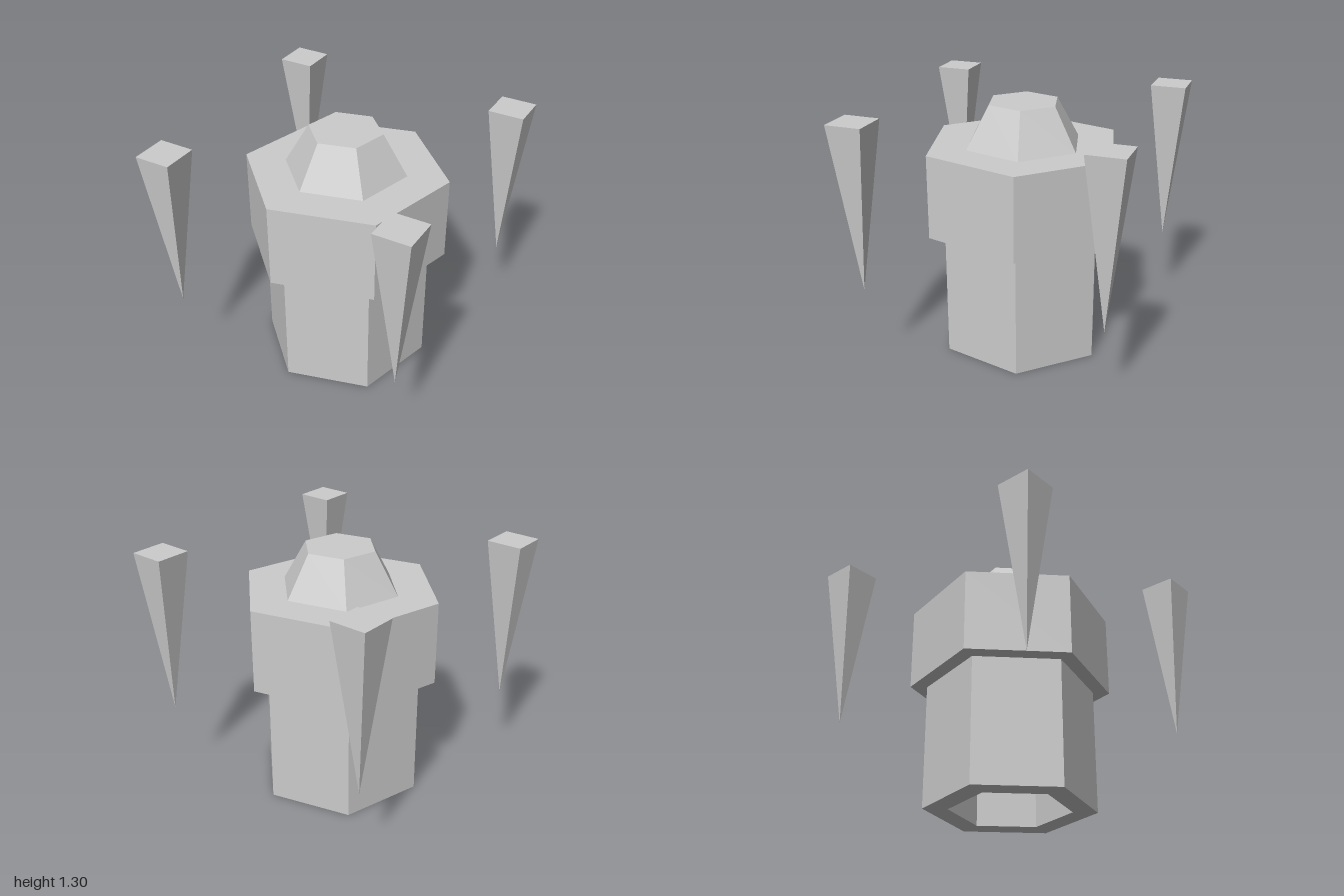
import * as THREE from 'three';

const material = new THREE.MeshStandardMaterial({ color: 0xcccccc, flatShading: true });

// Six-sided solid turned from [radius, height] pairs, with corners on +z and -z
function hexLathe(name, profile) {
  const points = profile.map(([r, y]) => new THREE.Vector2(r, y));
  const mesh = new THREE.Mesh(new THREE.LatheGeometry(points, 6), material);
  mesh.name = name;
  return mesh;
}

export function createModel() {
  const model = new THREE.Group();
  model.name = 'hexTower';

  // Body with a hollow base, a wider collar and a tapered cap
  model.add(hexLathe('towerBody', [
    [0, 0.66], [0.31, 0.66], [0.31, 0],   // recess in the underside
    [0.436, 0], [0.436, 0.657],           // shaft
    [0.522, 0.657], [0.522, 1.09],        // collar
    [0.312, 1.09], [0.188, 1.305], [0, 1.305], // cap
  ]));

  // Four floating spikes pointing down
  const top = 1.305, height = 0.865, radius = 0.13, distance = 0.87;
  const spikeGeometry = new THREE.ConeGeometry(radius, height, 4);
  spikeGeometry.rotateX(Math.PI);
  for (let i = 0; i < 4; i++) {
    const angle = (i * Math.PI) / 2;
    const spike = new THREE.Mesh(spikeGeometry, material);
    spike.name = `floatingSpike${i + 1}`;
    spike.position.set(distance * Math.sin(angle), top - height / 2, distance * Math.cos(angle));
    model.add(spike);
  }
  return model;
}
